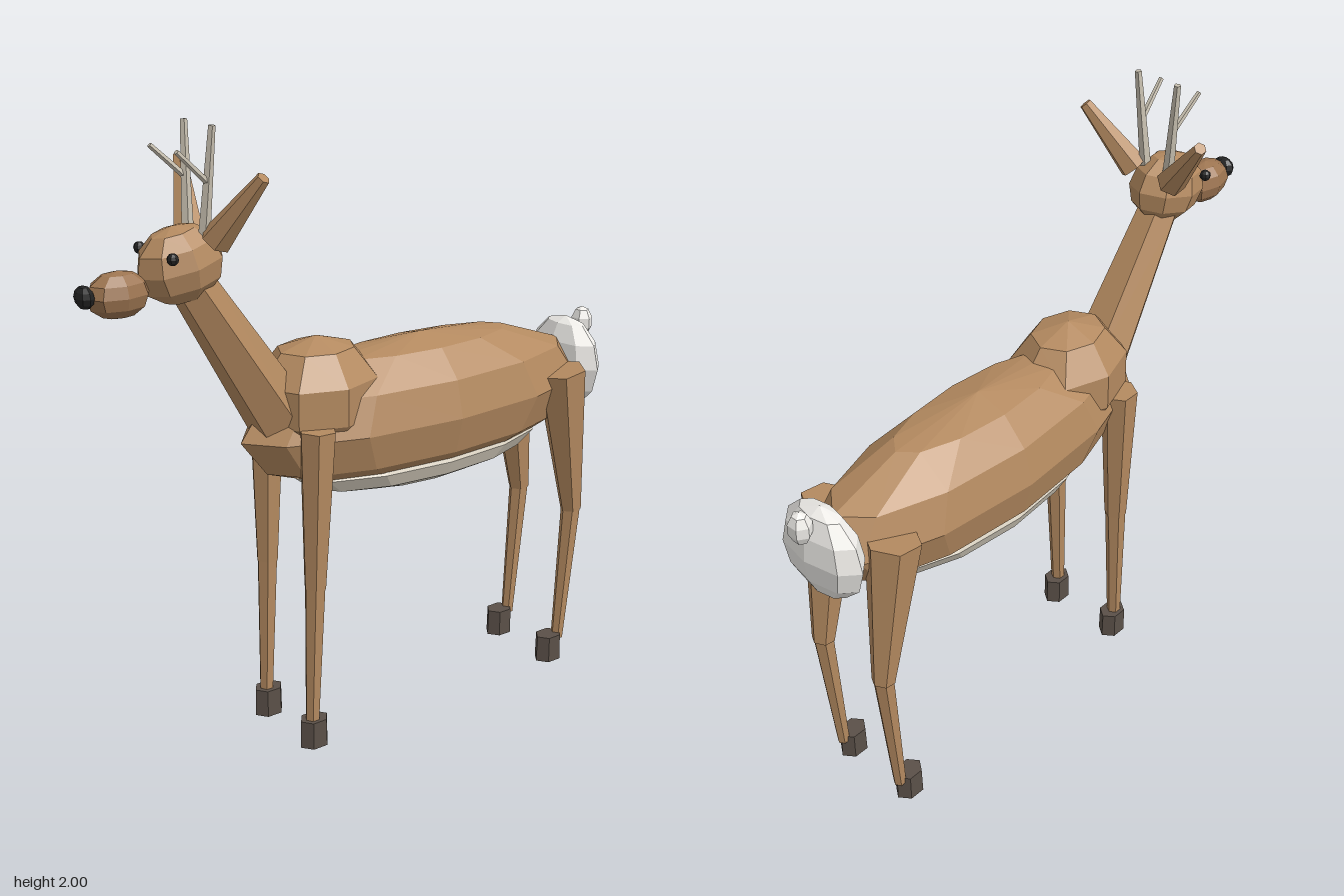
import * as THREE from 'three';

const paint = (color) => new THREE.MeshStandardMaterial({ color, flatShading: true });

export function createModel() {
  const model = new THREE.Group();
  model.name = 'deer';

  const coat = paint(0xb48a60), muzzleCoat = paint(0x9c7450), cream = paint(0xd8d0c0);
  const white = paint(0xf0eeea), horn = paint(0xc8c0b0), hoofDark = paint(0x5a5048), black = paint(0x222222);

  const add = (name, geometry, material) => {
    const mesh = new THREE.Mesh(geometry, material);
    mesh.name = name;
    model.add(mesh);
    return mesh;
  };

  // Faceted ellipsoid with the given centre and radii
  const blob = (name, material, centre, radii, across, down) => {
    const mesh = add(name, new THREE.SphereGeometry(1, across, down), material);
    mesh.position.set(...centre);
    mesh.scale.set(...radii);
    return mesh;
  };

  // Tapered cylinder running from point a to point b
  const limb = (name, material, a, b, ra, rb, sides = 6, twist = 0) => {
    const start = new THREE.Vector3(...a), end = new THREE.Vector3(...b);
    const axis = end.clone().sub(start);
    const geometry = new THREE.CylinderGeometry(rb, ra, axis.length(), sides).rotateY(twist);
    const mesh = add(name, geometry, material);
    mesh.position.copy(start).add(end).multiplyScalar(0.5);
    mesh.quaternion.setFromUnitVectors(new THREE.Vector3(0, 1, 0), axis.normalize());
    return mesh;
  };

  // Trunk
  blob('body', coat, [0, 1.02, -0.23], [0.22, 0.24, 0.69], 12, 6);
  blob('belly', cream, [0, 0.86, -0.23], [0.17, 0.095, 0.49], 12, 6);
  blob('shoulders', coat, [0, 1.123, 0.18], [0.18, 0.192, 0.22], 8, 5);
  blob('rump', white, [0, 1.047, -0.87], [0.165, 0.16, 0.075], 8, 6);
  blob('tail', white, [0, 1.172, -0.945], [0.04, 0.055, 0.037], 6, 5);

  // Neck and head
  limb('neck', coat, [0, 1.05, 0.3], [0, 1.55, 0.62], 0.105, 0.068, 6, Math.PI / 6);
  blob('head', coat, [0, 1.605, 0.648], [0.105, 0.115, 0.14], 8, 6).rotation.x = 0.2;
  blob('muzzle', muzzleCoat, [0, 1.545, 0.85], [0.066, 0.069, 0.1], 8, 6);
  blob('nose', black, [0, 1.553, 0.955], [0.04, 0.034, 0.026], 8, 6);

  for (const [side, s] of [['left', 1], ['right', -1]]) {
    blob(side + 'Eye', black, [s * 0.094, 1.645, 0.725], [0.018, 0.018, 0.018], 8, 6);
    limb(side + 'Ear', coat, [s * 0.075, 1.675, 0.573], [s * 0.226, 1.868, 0.506], 0.048, 0.02);

    // Antler with one forward tine
    limb(side + 'Antler', horn, [s * 0.045, 1.68, 0.594], [s * 0.076, 2, 0.576], 0.019, 0.011, 5);
    limb(side + 'AntlerTine', horn, [s * 0.062, 1.84, 0.586], [s * 0.074, 1.937, 0.69], 0.01, 0.008, 5);

    // Front leg
    limb(side + 'FrontUpperLeg', coat, [s * 0.135, 0.55, 0.285], [s * 0.14, 1.065, 0.274], 0.037, 0.06);
    limb(side + 'FrontLowerLeg', coat, [s * 0.133, 0.07, 0.3], [s * 0.135, 0.56, 0.285], 0.023, 0.035);

    // Rear leg
    limb(side + 'RearUpperLeg', coat, [s * 0.135, 0.555, -0.8], [s * 0.135, 1.07, -0.725], 0.037, 0.087);
    limb(side + 'RearLowerLeg', coat, [s * 0.133, 0.07, -0.76], [s * 0.135, 0.57, -0.8], 0.021, 0.034);

    // Hooves
    for (const [end, z] of [['Front', 0.293], ['Rear', -0.72]]) {
      const hoof = add(side + end + 'Hoof', new THREE.CylinderGeometry(0.05, 0.052, 0.092, 6), hoofDark);
      hoof.position.set(s * 0.132, 0.046, z);
      hoof.scale.x = 0.8;
    }
  }

  return model;
}
